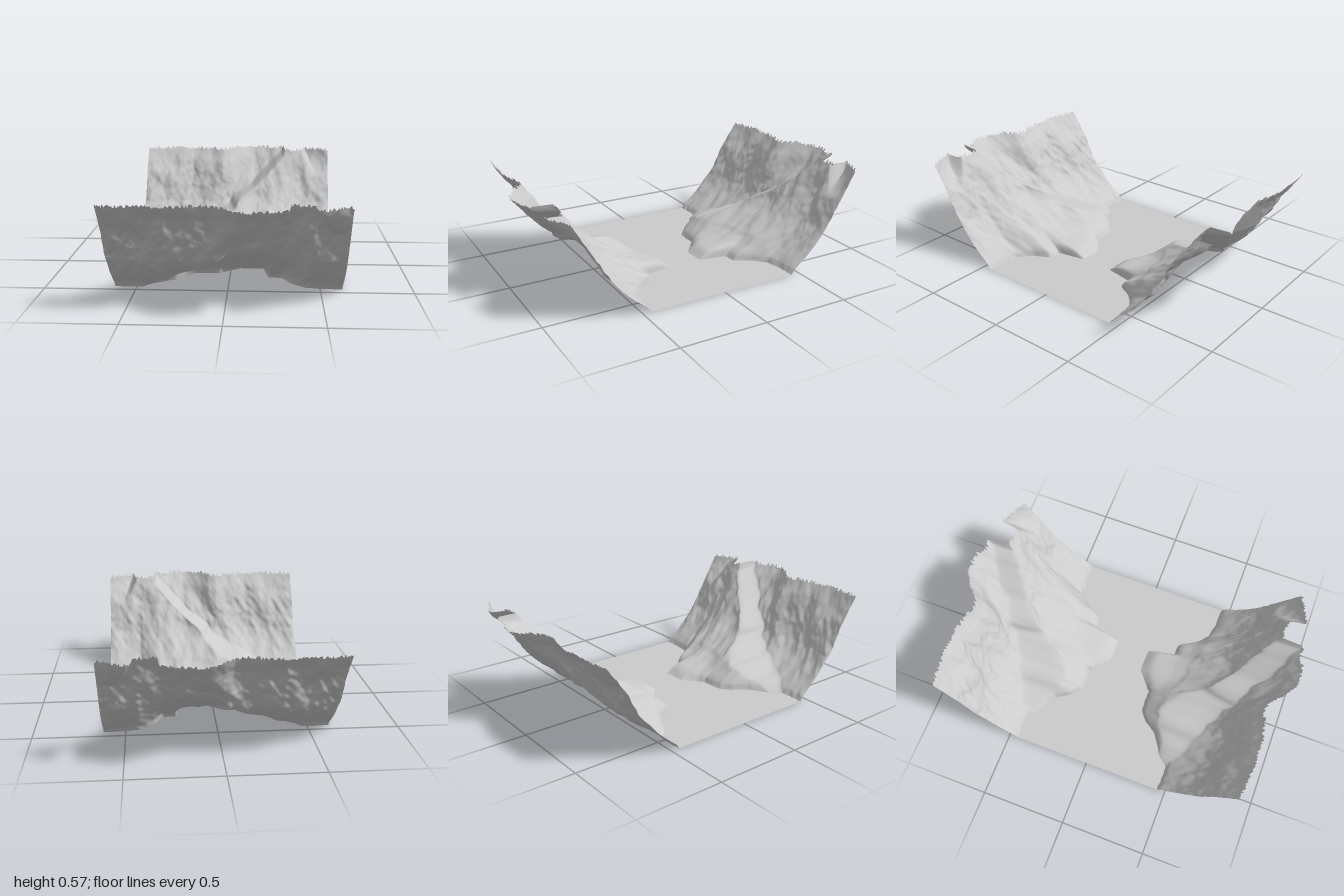
import * as THREE from 'three';

const { clamp, smoothstep, smootherstep, lerp } = THREE.MathUtils;
const HALF_WIDTH = 0.62, COLS = 180, ROWS = 80, TOP = 0.555;

// piecewise-linear curve through [input, output] pairs
function sample(points, t) {
  if (t <= points[0][0]) return points[0][1];
  for (let i = 1; i < points.length; i++) {
    const [a, va] = points[i - 1], [b, vb] = points[i];
    if (t <= b) return va + (vb - va) * (t - a) / (b - a);
  }
  return points[points.length - 1][1];
}

// seeded value noise, range -1..1
function hash(i, j) {
  const s = Math.sin(i * 127.1 + j * 311.7 + 17.3) * 43758.5453;
  return (s - Math.floor(s)) * 2 - 1;
}
function noise(x, y) {
  const i = Math.floor(x), j = Math.floor(y);
  const f = smootherstep(x - i, 0, 1), g = smootherstep(y - j, 0, 1);
  return lerp(lerp(hash(i, j), hash(i + 1, j), f),
    lerp(hash(i, j + 1), hash(i + 1, j + 1), f), g);
}

// rock relief: leaning, upright lumps in several sizes
function relief(x, y) {
  let sum = 0, size = 0.022, scale = 10;
  for (let o = 0; o < 4; o++) {
    const lean = [0.5, -0.35, 0.6, -0.5][o];
    sum += size * noise((x - y * lean) * scale + o * 5, (y * 0.55 + x * lean * 0.4) * scale + 3);
    size *= 0.5;
    scale *= 1.8;
  }
  return sum;
}

// average depth of the slope at each height
const slope = [[0, 0.455], [0.03, 0.475], [0.08, 0.535], [0.17, 0.63], [0.225, 0.68],
  [0.3, 0.725], [0.38, 0.765], [0.48, 0.82], [0.57, 0.88]];

// foot of the slope along x, with the rock fan reaching into the valley
const foot = [[-0.62, 0.45], [-0.5, 0.44], [-0.4, 0.38], [-0.3, 0.325], [-0.25, 0.25],
  [-0.19, 0.2], [-0.05, 0.2], [0.02, 0.26], [0.1, 0.31], [0.22, 0.31], [0.3, 0.32],
  [0.35, 0.37], [0.42, 0.43], [0.62, 0.45]];

// how far up the fan keeps its reach
const fanFade = [[0, 1], [0.12, 0.98], [0.23, 0.7], [0.33, 0.42], [0.4, 0.22], [0.52, 0]];

// low flat lobe in front of the fan, along x and by height
const lobe = [[-0.06, 0], [0, 0.11], [0.05, 0.18], [0.1, 0.21], [0.19, 0.21], [0.22, 0.05],
  [0.29, 0.045], [0.34, 0]];
const lobeFade = [[0, 1], [0.045, 0.8], [0.07, 0.35], [0.1, 0.1], [0.14, 0]];

// setback of the upper edge along x, above the diagonal ledge
const setback = [[-0.62, 0.005], [-0.45, 0.025], [-0.3, 0.045], [-0.2, 0.015], [-0.1, -0.01],
  [-0.05, 0.01], [0, 0.06], [0.06, 0.1], [0.12, 0.125], [0.22, 0.11], [0.32, 0.085]];

// height of the diagonal ledge along x
const ledge = [[-0.5, -0.06], [-0.4, 0.03], [-0.2, 0.135], [0, 0.25], [0.1, 0.335],
  [0.2, 0.425], [0.315, 0.54], [0.325, 0.65]];

function depthAt(x, y) {
  const k = clamp(y / TOP, 0, 1);
  // 0 above the diagonal ledge, 1 below it
  const gap = sample(ledge, x) - y + 0.035 * (1 - k) * noise(x * 13, y * 11);
  const below = smoothstep(gap, -0.015, 0.03);
  const fan = (sample(foot, x) - 0.455) * sample(fanFade, y)
    - 0.03 * k * smoothstep(0.6 - x, 0, 0.2);
  let z = sample(slope, y) + lerp(sample(setback, x) * k, fan, below);
  z -= sample(lobe, x) * sample(lobeFade, y);
  // short second ledge in the upper right corner
  const c = x - 0.437 - 0.5 * TOP * (1 - k);
  z += 0.11 * smoothstep(c, 0, 0.02) * Math.max(0, 1 - c / 0.16) * smoothstep(y, 0.38, 0.55);
  return z + relief(x, y) * (0.45 + 0.55 * Math.sin(Math.PI * k));
}

// grid of points from a rule, wound so that its upper side is the front
function sheet(rows, point, flip) {
  const positions = [], index = [];
  for (let r = 0; r <= rows; r++) {
    for (let c = 0; c <= COLS; c++) {
      const x = -HALF_WIDTH + 2 * HALF_WIDTH * c / COLS;
      positions.push(...point(x, r / rows, c));
      if (r < rows && c < COLS) {
        const a = r * (COLS + 1) + c, b = a + 1, d = a + COLS + 1, e = d + 1;
        if (flip) index.push(a, b, e, a, e, d);
        else index.push(a, e, b, a, d, e);
      }
    }
  }
  const geometry = new THREE.BufferGeometry();
  geometry.setAttribute('position', new THREE.Float32BufferAttribute(positions, 3));
  geometry.setIndex(index);
  geometry.computeVertexNormals();
  return geometry;
}

export function createModel() {
  const group = new THREE.Group();
  group.name = 'valley';
  const material = new THREE.MeshStandardMaterial({ color: 0xcccccc, side: THREE.DoubleSide });
  const add = (name, geometry) => {
    const mesh = new THREE.Mesh(geometry, material);
    mesh.name = name;
    group.add(mesh);
  };

  // mirrored rocky slopes with a ragged upper edge
  for (const side of [1, -1]) {
    add(side > 0 ? 'frontSlope' : 'backSlope', sheet(ROWS, (x, v, c) => {
      const ragged = v === 1 ? 0.014 * hash(c, 5) : 0;
      const y = v * TOP + ragged;
      return [x, y, side * Math.min(1, depthAt(x, y))];
    }, side < 0));
  }

  // flat valley floor trimmed along the foot of both slopes
  add('valleyFloor', sheet(1, (x, v) => [x, 0, (2 * v - 1) * depthAt(x, 0)], false));
  return group;
}
